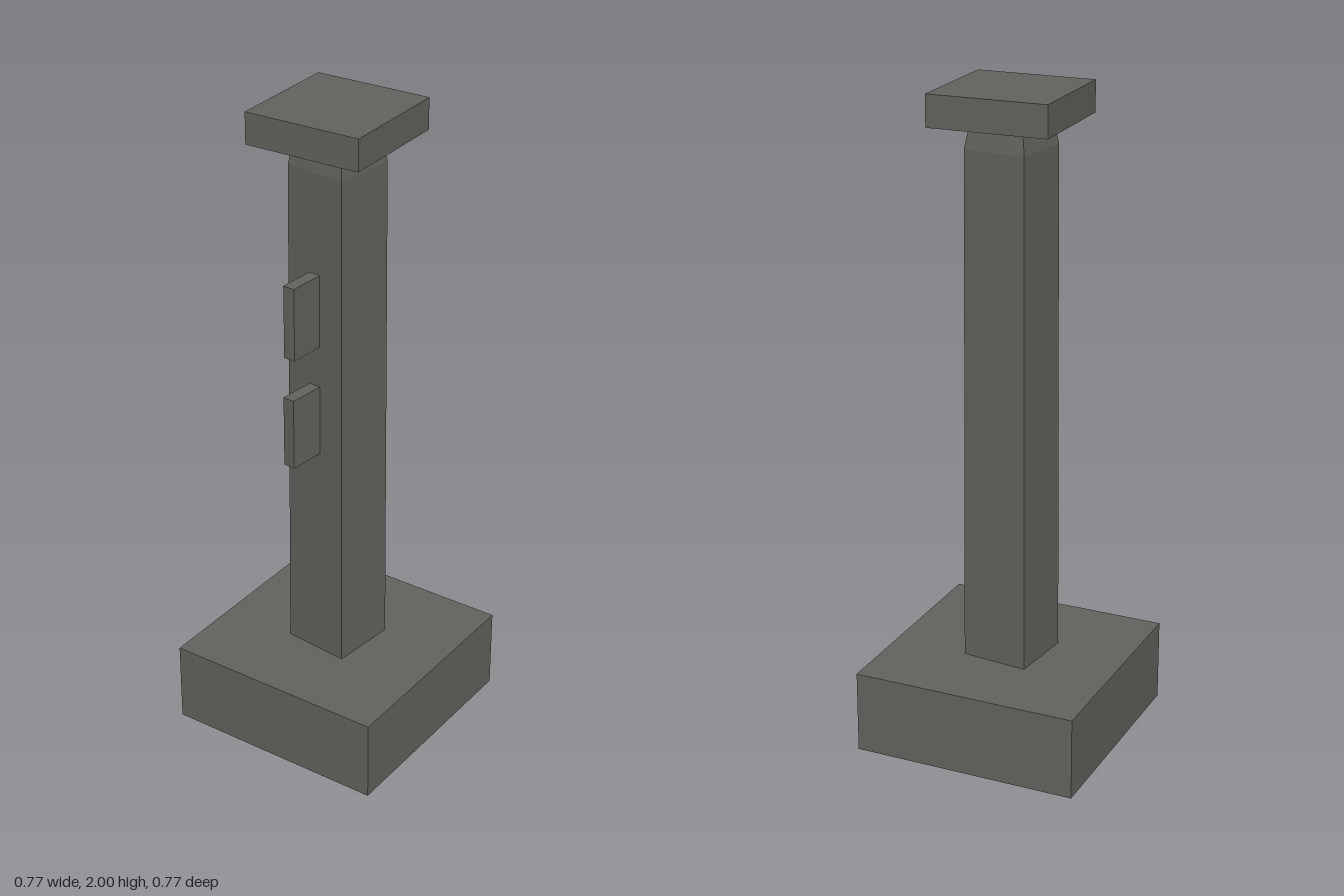
import * as THREE from 'three';

export function createModel() {
  const group = new THREE.Group();
  const stone = new THREE.MeshStandardMaterial({ color: 0x63645e });
  stone.name = 'grey stone';

  const add = (name, geometry, x, y, z, turn = 0) => {
    const mesh = new THREE.Mesh(geometry, stone);
    mesh.name = name;
    mesh.position.set(x, y, z);
    mesh.rotation.y = turn;
    group.add(mesh);
  };

  // Plinth and cap, each turned slightly out of line with the shaft
  add('base', new THREE.BoxGeometry(0.703, 0.255, 0.703), 0, 0.1275, 0, 0.104);
  add('cap', new THREE.BoxGeometry(0.365, 0.095, 0.365), 0, 1.9525, 0, 0.137);

  // Square shaft: gentle taper, pinched neck under the cap
  const levels = [[0.25, 0.105], [0.9, 0.102], [1.83, 0.098], [1.91, 0.085]];
  const shaft = new THREE.BoxGeometry(2, 1, 2, 1, levels.length - 1, 1).toNonIndexed();
  const p = shaft.attributes.position;
  for (let i = 0; i < p.count; i++) {
    const [y, half] = levels[Math.round((p.getY(i) + 0.5) * (levels.length - 1))];
    p.setXYZ(i, p.getX(i) * half, y, p.getZ(i) * half);
  }
  shaft.computeVertexNormals();
  add('shaft', shaft, 0, 0, 0);

  // Two upright fins on the front
  add('upperFin', new THREE.BoxGeometry(0.038, 0.225, 0.13), 0.001, 1.4125, 0.149, 0.04);
  add('lowerFin', new THREE.BoxGeometry(0.038, 0.222, 0.13), -0.001, 1.06, 0.15);

  return group;
}
